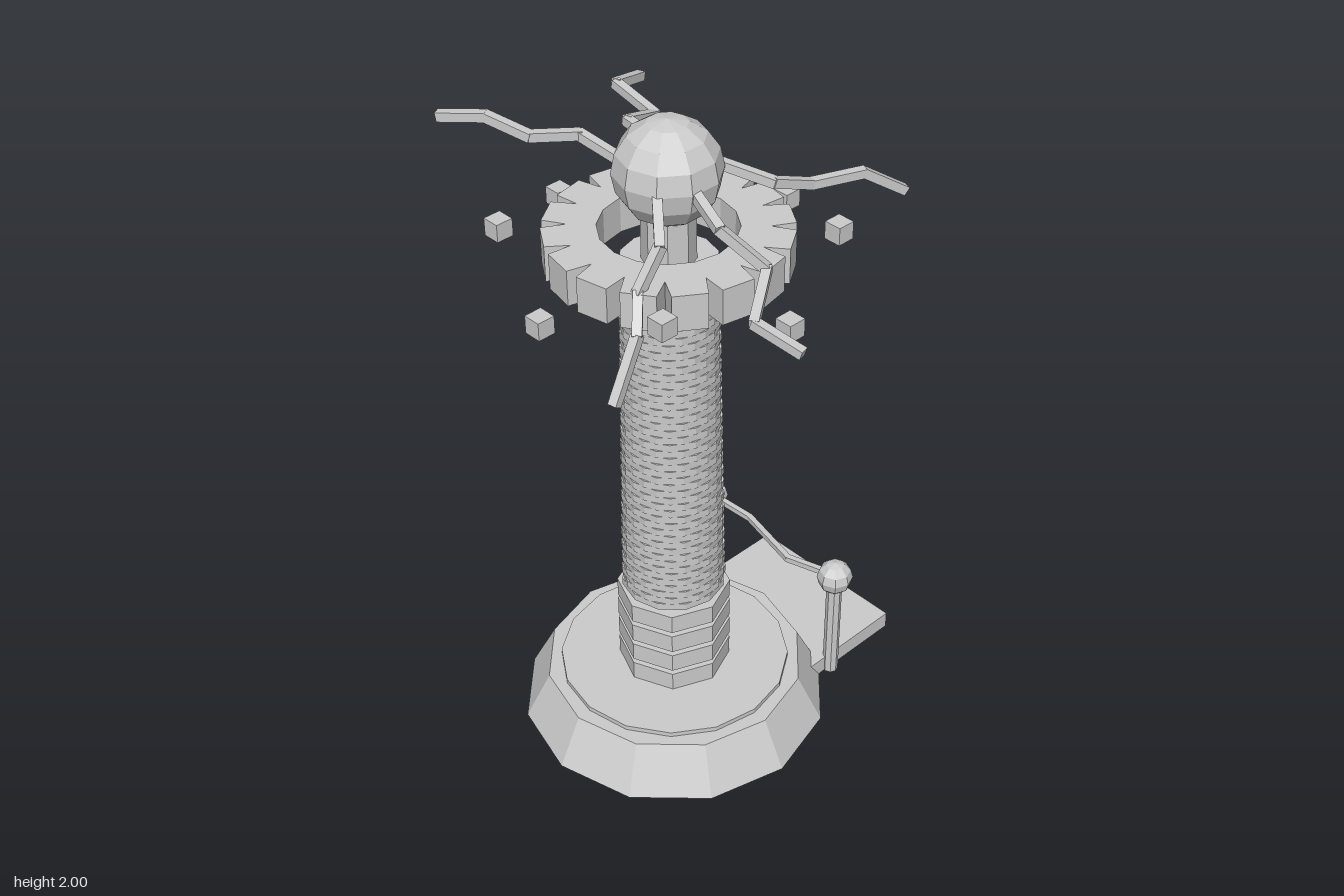
import * as THREE from 'three';

export function createModel() {
  const model = new THREE.Group();
  const grey = new THREE.MeshStandardMaterial({ color: 0xcccccc, flatShading: true });
  grey.name = 'light grey';
  const CX = -0.033, CZ = 0.105; // tower axis

  function add(geometry, name, x = CX, y = 0, z = CZ) {
    const mesh = new THREE.Mesh(geometry, grey);
    mesh.name = name;
    mesh.position.set(x, y, z);
    model.add(mesh);
    return mesh;
  }
  const drum = (name, rTop, rBottom, y0, y1, sides) =>
    add(new THREE.CylinderGeometry(rTop, rBottom, y1 - y0, sides), name, CX, (y0 + y1) / 2);

  // Straight square bars joining a list of points
  function zigzag(points, thickness, name) {
    const group = new THREE.Group();
    group.name = name;
    const pts = points.map((p) => new THREE.Vector3(...p));
    for (let i = 0; i < pts.length - 1; i++) {
      const length = pts[i].distanceTo(pts[i + 1]);
      const bar = new THREE.Mesh(new THREE.BoxGeometry(thickness, thickness, length + thickness * 0.3), grey);
      bar.name = name + 'Segment';
      bar.position.lerpVectors(pts[i], pts[i + 1], 0.5);
      bar.lookAt(pts[i + 1]);
      group.add(bar);
    }
    model.add(group);
  }

  // Base and rear platform
  drum('base', 0.39, 0.465, 0, 0.15, 12);
  drum('basePlate', 0.346, 0.346, 0.145, 0.165, 16);
  add(new THREE.BoxGeometry(0.535, 0.055, 0.475), 'platform', CX, 0.0275, -0.3375);

  // Lower core with four thick rings
  drum('core', 0.104, 0.104, 0.16, 0.49, 8);
  for (let i = 0; i < 4; i++) drum('lowerRing', 0.167, 0.167, 0.165 + i * 0.077, 0.226 + i * 0.077, 8);

  // Tapering coil of thin turns, every other one rotated
  const turns = 46, coilBottom = 0.472, coilTop = 1.54, step = (coilTop - coilBottom) / turns;
  for (let i = 0; i < turns; i++) {
    const r = THREE.MathUtils.lerp(0.154, 0.136, i / (turns - 1));
    const y = coilBottom + i * step;
    drum('coilTurn', r, r, y, y + step, 12).rotation.y = (i % 2) * Math.PI / 12;
  }
  drum('coilCap', 0.135, 0.125, 1.54, 1.59, 12);
  drum('neck', 0.074, 0.074, 1.58, 1.76, 8);

  // Notched crown ring
  const teeth = 16, shape = new THREE.Shape(), hole = new THREE.Path();
  const polar = (r, a) => new THREE.Vector2(r * Math.cos(a), r * Math.sin(a));
  const outline = [], inner = [];
  for (let i = 0; i < teeth; i++) {
    const a = (i / teeth) * Math.PI * 2, pitch = Math.PI * 2 / teeth, gap = 0.055;
    outline.push(polar(0.265, a), polar(0.333, a + gap), polar(0.333, a + pitch - gap));
    inner.push(polar(0.188, -a));
  }
  shape.setFromPoints(outline);
  hole.setFromPoints(inner);
  shape.holes.push(hole);
  const crown = new THREE.ExtrudeGeometry(shape, { depth: 0.105, bevelEnabled: false });
  crown.rotateX(-Math.PI / 2);
  add(crown, 'crownRing', CX, 1.585);

  // Top ball
  const ball = add(new THREE.SphereGeometry(0.147, 10, 8), 'topBall', CX, 1.854);
  ball.rotation.y = Math.PI / 2;

  // Floating cubes around the crown
  for (let i = 0; i < 8; i++) {
    const p = polar(0.441, i * Math.PI / 4);
    add(new THREE.BoxGeometry(0.052, 0.052, 0.052), 'floatingCube', CX + p.x, i % 2 ? 1.68 : 1.59, CZ + p.y);
  }

  // Lightning arcs
  const arcs = [
    [[-0.13, 1.86, 0.035], [-0.28, 1.865, 0.02], [-0.32, 1.815, -0.115], [-0.475, 1.85, -0.115], [-0.52, 1.81, -0.245]],
    [[0.03, 1.85, -0.02], [0.145, 1.81, -0.1], [0.165, 1.765, -0.22], [0.22, 1.765, -0.36], [0.265, 1.685, -0.475]],
    [[0.09, 1.85, 0.13], [0.21, 1.81, 0.16], [0.3, 1.7, 0.08], [0.4, 1.655, 0.225], [0.53, 1.615, 0.19]],
    [[0.04, 1.85, 0.21], [0.14, 1.785, 0.295], [0.14, 1.685, 0.37], [0.2, 1.615, 0.43], [0.218, 1.465, 0.525]],
    [[-0.13, 1.87, 0.175], [-0.25, 1.91, 0.21], [-0.31, 1.925, 0.325], [-0.415, 1.962, 0.38], [-0.525, 1.945, 0.445]],
  ];
  for (const arc of arcs) zigzag(arc, 0.026, 'lightningArc');

  // Rear posts with balls, linked by a cable
  for (const x of [-0.303, 0.238]) {
    add(new THREE.CylinderGeometry(0.024, 0.024, 0.36, 8), 'post', x, 0.18, -0.31);
    add(new THREE.SphereGeometry(0.055, 8, 6), 'postBall', x, 0.383, -0.31);
  }
  zigzag([[-0.29, 0.385, -0.31], [-0.14, 0.378, -0.323], [0.08, 0.382, -0.268], [0.23, 0.385, -0.31]], 0.018, 'cable');

  return model;
}
